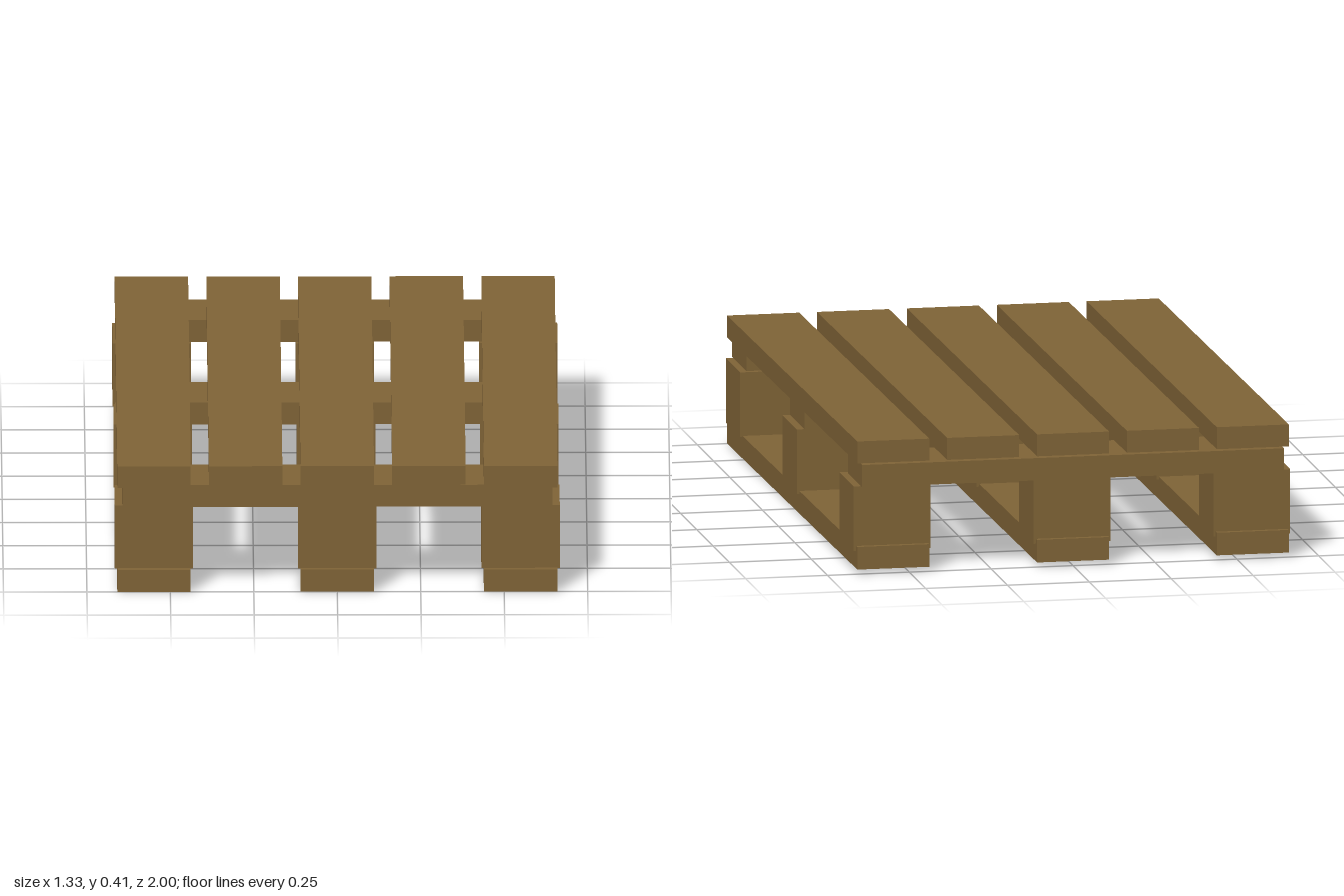
import * as THREE from 'three';

export function createModel() {
  const pallet = new THREE.Group();
  pallet.name = 'pallet';
  const wood = new THREE.MeshStandardMaterial({ color: 0x806437, flatShading: true });

  const addBox = (name, size, position, tilt = 0) => {
    const mesh = new THREE.Mesh(new THREE.BoxGeometry(...size), wood);
    mesh.name = name;
    mesh.position.set(...position);
    mesh.rotation.x = tilt;
    pallet.add(mesh);
  };

  const tilt = 0.007; // long boards rise slightly towards the back

  // Five deck boards along the length
  for (let i = -2; i <= 2; i++) {
    addBox('deckBoard', [0.22, 0.067, 2], [i * 0.2745, 0.365, 0], tilt);
  }

  // Three cross boards under the deck
  for (const z of [-0.89, 0, 0.89]) {
    addBox('crossBoard', [1.288, 0.068, 0.22], [0, 0.299, z]);
  }

  // Three runners, each carrying three blocks
  for (const x of [-0.549, 0, 0.549]) {
    addBox('bottomRunner', [0.22, 0.069, 2], [x, 0.0415, 0], tilt);
    for (const z of [-0.873, 0, 0.873]) {
      addBox('spacerBlock', [0.235, 0.197, 0.22], [x, 0.1665, z]);
    }
  }

  return pallet;
}
